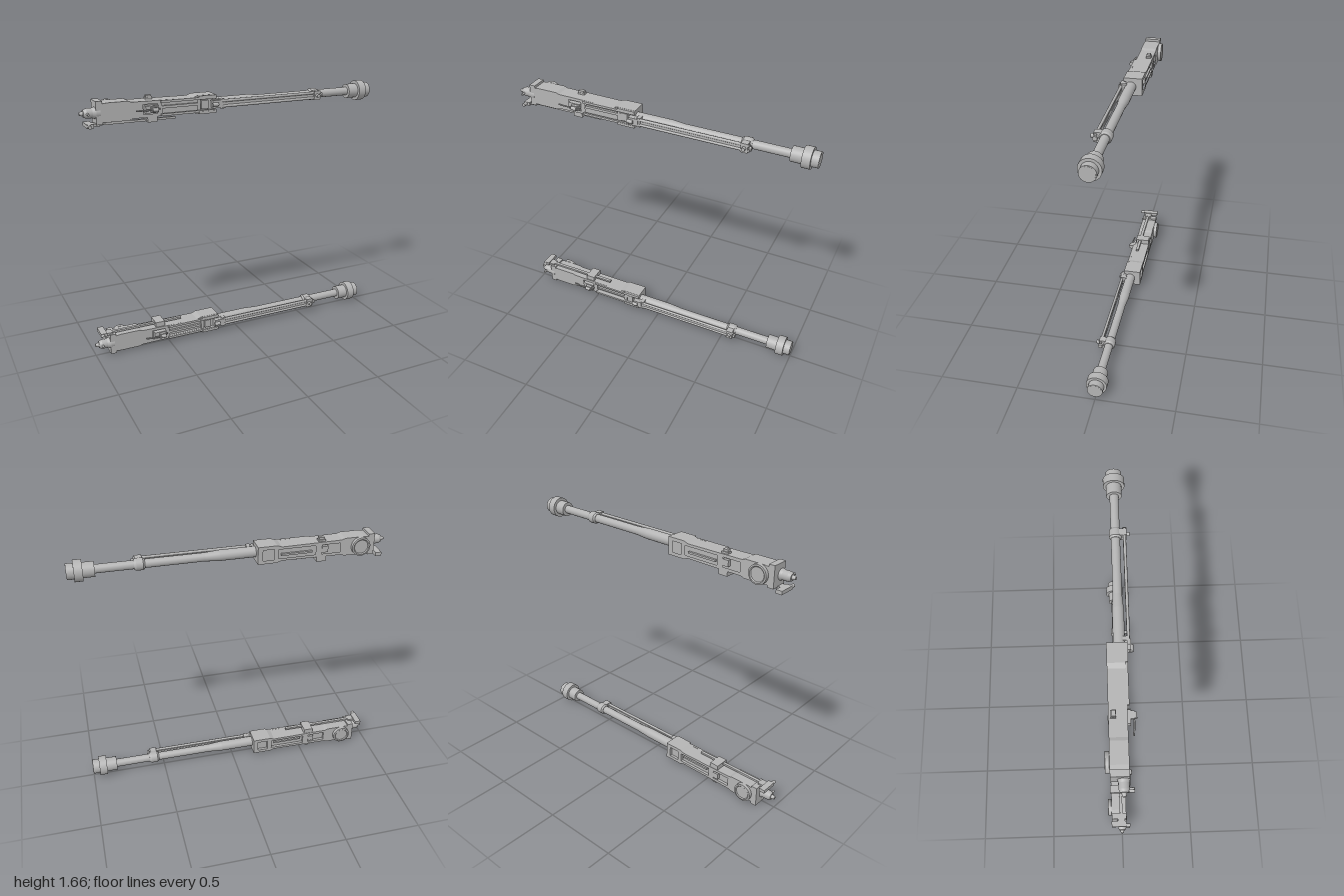
import * as THREE from 'three';

const steel = new THREE.MeshStandardMaterial({ color: 0xb4b4b4 });
steel.name = 'steel grey';

// One long gun along x; s = 1 puts the rail side up, s = -1 mirrors it vertically.
function makeGun(s) {
  const gun = new THREE.Group();
  const add = (name, geo, x = 0, y = 0, z = 0) => {
    const m = new THREE.Mesh(geo, steel);
    m.name = name;
    m.position.set(x, s * y, z);
    gun.add(m);
    return m;
  };
  // Box from its limits on every axis
  const box = (name, x0, x1, y0, y1, z0, z1) =>
    add(name, new THREE.BoxGeometry(x1 - x0, y1 - y0, z1 - z0), (x0 + x1) / 2, (y0 + y1) / 2, (z0 + z1) / 2);
  // Stepped or tapered round part along x, from [x, radius] pairs
  const round = (name, pts, y = 0, z = 0, sides = 32) => {
    for (let i = 0; i < pts.length - 1; i++) {
      const [xa, ra] = pts[i], [xb, rb] = pts[i + 1];
      if (xb - xa < 1e-5) continue;
      const g = new THREE.CylinderGeometry(rb, ra, xb - xa, sides);
      g.rotateZ(-Math.PI / 2);
      add(name, g, (xa + xb) / 2, y, z);
    }
  };
  // Outline in x and y, extruded from z0 to z1
  const plate = (name, pts, z0, z1, holes = []) => {
    const sh = new THREE.Shape(pts.map(([x, y]) => new THREE.Vector2(x, s * y)));
    holes.forEach(h => sh.holes.push(new THREE.Path(h.map(([x, y]) => new THREE.Vector2(x, s * y)))));
    return add(name, new THREE.ExtrudeGeometry(sh, { depth: z1 - z0, bevelEnabled: false }), 0, 0, z0);
  };
  const rect = (x0, x1, y0, y1) => [[x0, y0], [x1, y0], [x1, y1], [x0, y1]];

  // Barrel and muzzle
  round('barrel', [[-0.16, 0.034], [0.08, 0.034], [0.17, 0.027], [0.84, 0.027]]);
  round('muzzleBrake', [[0.835, 0.047], [0.905, 0.047], [0.905, 0.066], [0.957, 0.066], [0.957, 0.049], [1, 0.049]]);
  round('muzzleFace', [[0.999, 0.043], [1.001, 0.043]]);

  // Barrel collar
  round('collar', [[0.537, 0.03], [0.548, 0.038], [0.59, 0.038], [0.603, 0.03]]);
  box('collarBlock', 0.548, 0.592, -0.03, 0.03, 0.01, 0.066);
  round('collarPlug', [[0.6, 0.014], [0.612, 0.014]], 0, 0.055, 16);
  const pin = new THREE.CylinderGeometry(0.012, 0.012, 0.026, 16);
  pin.rotateX(Math.PI / 2);
  add('collarPin', pin, 0.57, 0, 0.073);

  // Twin gas tubes beside the barrel
  for (const y of [-0.017, 0.017]) round('gasTube', [[-0.15, 0.009], [0.6, 0.009]], y, 0.054, 12);
  box('gasTubeWeb', -0.12, 0.55, -0.008, 0.008, 0.046, 0.056);
  box('gasBlock', -0.18, -0.115, -0.024, 0.024, 0.03, 0.066);
  round('gasBlockPlug', [[-0.185, 0.012], [-0.145, 0.012]], 0, 0.069, 16);
  box('tubeClamp', -0.125, -0.1, -0.03, 0.03, 0.02, 0.06);

  // Receiver
  const outline = [[-0.88, -0.053], [-0.84, -0.058], [-0.71, -0.058], [-0.69, -0.05], [-0.3, -0.046],
    [-0.27, -0.057], [-0.148, -0.057], [-0.148, 0.057], [-0.27, 0.057], [-0.3, 0.046],
    [-0.69, 0.05], [-0.71, 0.058], [-0.84, 0.058], [-0.88, 0.053]];
  plate('receiverBody', outline, -0.055, 0.015);
  plate('receiverBackCover', outline, -0.073, -0.055,
    [rect(-0.68, -0.56, -0.03, 0.03), rect(-0.52, -0.28, -0.03, 0.03), rect(-0.25, -0.18, -0.035, 0.035)]);
  plate('receiverFrontCover', outline, 0.015, 0.032,
    [rect(-0.62, -0.53, -0.03, 0.03), rect(-0.5, -0.27, -0.032, 0.032), rect(-0.25, -0.17, -0.035, 0.035)]);
  box('rearPlate', -0.907, -0.868, -0.07, 0.068, -0.073, 0.032);
  for (const y of [-0.04, 0.04]) {
    box('frontSideRail', -0.51, -0.148, y - 0.007, y + 0.007, 0.03, 0.044);
    box('frontCheek', -0.265, -0.148, y * 1.2 - 0.008, y * 1.2 + 0.008, 0.03, 0.046);
  }
  box('feedSlide', -0.5, -0.27, -0.012, 0.004, 0.01, 0.03);
  box('frontLatch', -0.245, -0.2, -0.026, 0.026, 0.01, 0.038);
  box('backSlide', -0.5, -0.3, 0.004, 0.016, -0.07, -0.05);
  box('backLatch', -0.6, -0.56, -0.02, 0.02, -0.076, -0.05);

  // Round drum on the back of the receiver
  const drumProfile = [[0, 0], [0.052, 0], [0.06, 0.006], [0.06, 0.028], [0.05, 0.03], [0.044, 0.025], [0, 0.025]];
  const drum = new THREE.LatheGeometry(drumProfile.map(p => new THREE.Vector2(...p)), 36).toNonIndexed();
  drum.computeVertexNormals();
  drum.rotateX(-Math.PI / 2);
  add('drum', drum, -0.812, 0, -0.069);

  // Rear buffer
  round('rearBuffer', [[-0.978, 0.022], [-0.96, 0.03], [-0.925, 0.03], [-0.905, 0.036], [-0.88, 0.036]]);
  round('rearTip', [[-1, 0.009], [-0.985, 0.014], [-0.97, 0.014]], 0, 0, 16);
  const rearPin = new THREE.CylinderGeometry(0.007, 0.007, 0.05, 12);
  rearPin.rotateX(Math.PI / 2);
  add('rearPin', rearPin, -0.957, 0, 0.03);

  // Cocking lever on the front side
  box('leverMount', -0.61, -0.53, -0.022, 0.022, 0.012, 0.05);
  plate('leverPivot', rect(-0.58, -0.535, -0.016, 0.016), 0.05, 0.07);
  round('leverKnob', [[-0.575, 0.012], [-0.54, 0.012]], 0, 0.073, 16);
  const curve = new THREE.CatmullRomCurve3([[-0.675, 0, 0.062], [-0.62, 0, 0.068], [-0.57, 0, 0.066],
    [-0.52, 0, 0.046]].map(p => new THREE.Vector3(...p)));
  add('lever', new THREE.TubeGeometry(curve, 16, 0.005, 8));

  // Control rail beside the receiver
  box('controlRail', -0.95, -0.405, 0.064, 0.077, -0.015, 0.005);
  box('railBracket', -0.592, -0.53, 0.045, 0.082, -0.07, 0.025);
  box('railRearBar', -0.965, -0.925, 0.062, 0.085, -0.075, 0.03);
  box('railRearFoot', -0.925, -0.885, 0.062, 0.078, -0.03, 0.02);
  const roller = new THREE.CylinderGeometry(0.011, 0.011, 0.03, 16);
  roller.rotateX(Math.PI / 2);
  add('railRoller', roller, -0.953, 0.073, 0.043);

  // Small lug opposite the rail
  box('lug', -0.585, -0.54, -0.06, -0.04, -0.063, -0.03);
  box('lugCap', -0.58, -0.545, -0.073, -0.06, -0.056, -0.032);
  return gun;
}

export function createModel() {
  const model = new THREE.Group();
  model.name = 'twinGuns';
  for (const [name, y, s] of [['lowerGun', 0.074, 1], ['upperGun', 1.588, -1]]) {
    const gun = makeGun(s);
    gun.name = name;
    gun.position.y = y;
    model.add(gun);
  }
  return model;
}
